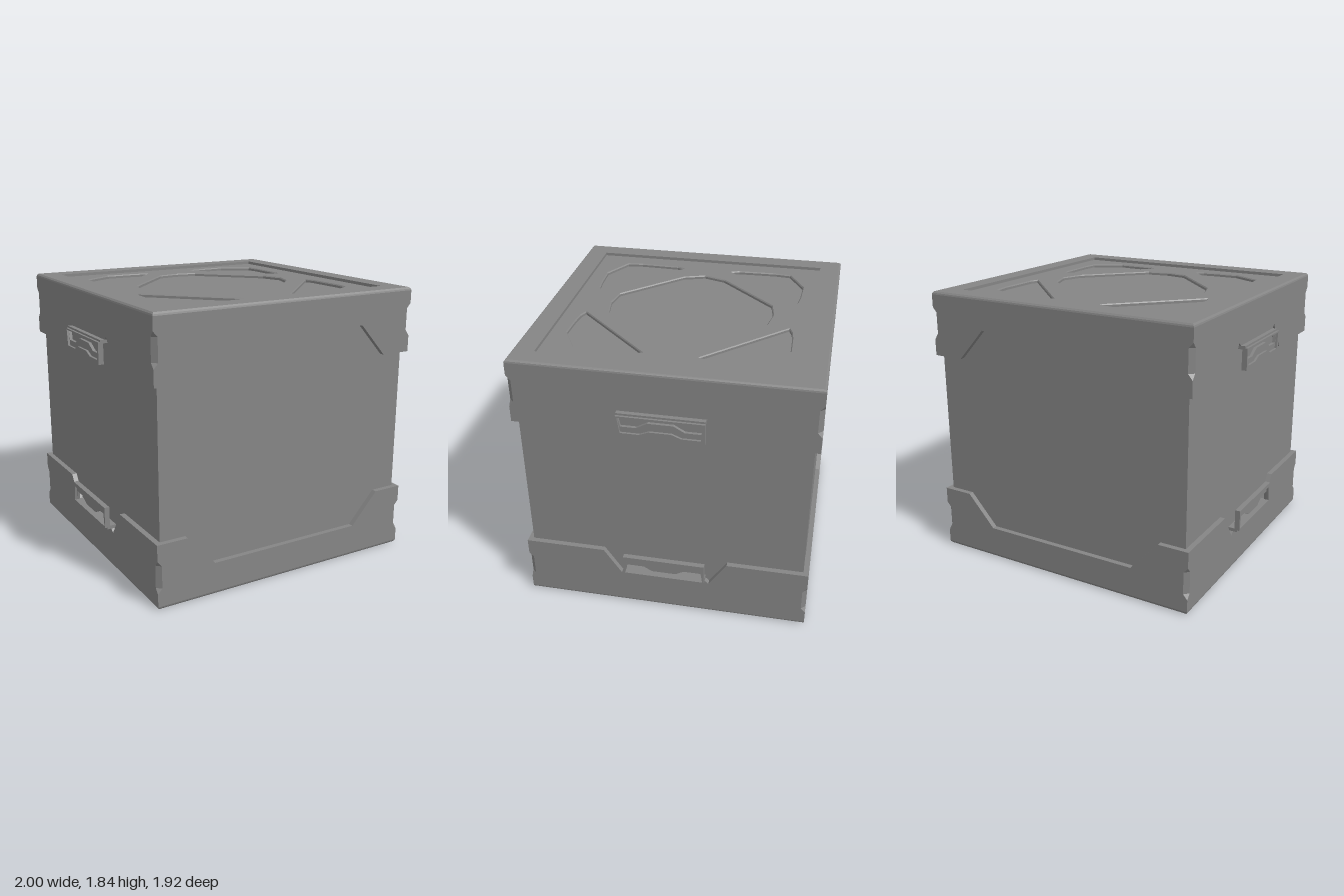
import * as THREE from 'three';

const material = new THREE.MeshStandardMaterial({ color: 0x858585, flatShading: true, side: THREE.DoubleSide });
const points = (list) => list.map(([x, y]) => new THREE.Vector2(x, y));
// Right half of an outline, completed by its mirror image
const mirrored = (half) => points([...half, ...half.map(([x, y]) => [-x, y]).reverse()]);

function part(name, geometry, parent) {
  const mesh = new THREE.Mesh(geometry, material);
  mesh.name = name;
  parent.add(mesh);
  return mesh;
}

function plate(outline, depth, holes = [], bevel = 0) {
  const shape = new THREE.Shape(outline);
  shape.holes = holes.map((h) => new THREE.Path(h));
  return new THREE.ExtrudeGeometry(shape, {
    depth, bevelEnabled: bevel > 0, bevelThickness: bevel, bevelSize: bevel, bevelSegments: 1,
  });
}

// Surface through closed loops given as [y, [[x, z], ...]], counterclockwise from above
function loft(loops) {
  const pos = [], idx = [], n = loops[0][1].length;
  for (const [y, loop] of loops) for (const [x, z] of loop) pos.push(x, y, z);
  for (let r = 0; r < loops.length - 1; r++) {
    for (let c = 0; c < n; c++) {
      const a = r * n + c, b = r * n + (c + 1) % n;
      idx.push(a, b, b + n, a, b + n, a + n);
    }
  }
  const g = new THREE.BufferGeometry();
  g.setAttribute('position', new THREE.Float32BufferAttribute(pos, 3));
  g.setIndex(idx);
  const flat = g.toNonIndexed();
  flat.computeVertexNormals();
  return flat;
}

const rect = (x, z) => [[x, z], [x, -z], [-x, -z], [-x, z]];

// Corner post section; t is the size of the chamfer cut
function postSection(sx, sz, t) {
  const loop = [[0.925, 0.96], [0.955 - t, 0.96], [0.955, 0.96 - t], [0.955, 0.925], [0.925, 0.925]]
    .map(([x, z]) => [x * sx, z * sz]);
  return sx * sz > 0 ? loop : loop.reverse();
}

function makeHandle() {
  const handle = new THREE.Group();
  handle.name = 'handle';
  // Front frame, then the recessed grip with its wavy edge behind it
  const frame = part('handleFrame', plate(mirrored([[0.275, 0.487], [0.275, 0.632]]), 0.015, [
    mirrored([[0.07, 0.54], [0.13, 0.515], [0.25, 0.515], [0.265, 0.622]])]), handle);
  frame.position.z = 0.985;
  const grip = part('handleGrip', plate(mirrored([[0.275, 0.487], [0.275, 0.645]]), 0.02, [
    mirrored([[0.08, 0.592], [0.15, 0.552], [0.25, 0.552], [0.265, 0.622]])]), handle);
  grip.position.z = 0.965;
  const mount = part('handleMount', new THREE.BoxGeometry(0.55, 0.023, 0.065), handle);
  mount.position.set(0, 0.6335, 0.9475);
  return handle;
}

// One end cap, measured from the middle height of the crate
function makeCap(name) {
  const cap = new THREE.Group();
  cap.name = name;

  // Four walls with trapezoid cutouts; the side walls carry the handles
  const frontWall = mirrored([[0.55, 0.703], [0.745, 0.487], [0.925, 0.487], [0.925, 0.9]]);
  const sideWall = mirrored([[0.275, 0.645], [0.3, 0.668], [0.42, 0.487], [0.925, 0.487], [0.925, 0.9]]);
  for (const turn of [0, 1, 2, 3]) {
    const side = new THREE.Group();
    side.name = ['front', 'left', 'back', 'right'][turn] + 'Side';
    side.rotation.y = turn * Math.PI / 2;
    const isEnd = turn % 2 === 0;
    const wall = part('capWall', plate(isEnd ? frontWall : sideWall, 0.035), side);
    wall.position.z = isEnd ? 0.925 : 0.92;
    if (!isEnd) side.add(makeHandle());
    cap.add(side);
  }

  // Corner posts with a chamfered notch half way up
  for (const sx of [1, -1]) {
    for (const sz of [1, -1]) {
      const section = (y, t) => [y, postSection(sx, sz, t)];
      const closed = [0.487, Array(5).fill([0.925 * sx, 0.925 * sz])];
      part('cornerPost', loft([closed, section(0.487, 0), section(0.595, 0), section(0.63, 0.03),
        section(0.78, 0.03), section(0.815, 0), section(0.9, 0)]), cap);
    }
  }

  // Bevelled rim stepping down to the panel
  part('capRim', loft([
    [0.9, rect(0.955, 0.96)], [0.91, rect(0.952, 0.957)], [0.92, rect(0.942, 0.947)],
    [0.92, rect(0.815, 0.815)], [0.895, rect(0.815, 0.815)]]), cap);

  // Panel with a central diamond pocket and four corner pockets
  const diamond = points([[0, -0.56], [0.15, -0.535], [0.52, -0.15], [0.57, 0], [0.52, 0.15], [0.15, 0.535],
    [0, 0.56], [-0.15, 0.535], [-0.52, 0.15], [-0.57, 0], [-0.52, -0.15], [-0.15, -0.535]]);
  const pocket = [[0.17, 0.68], [0.23, 0.705], [0.32, 0.715], [0.49, 0.72], [0.69, 0.61],
    [0.702, 0.5], [0.695, 0.23], [0.67, 0.17]];
  const holes = [diamond];
  for (const sx of [1, -1]) {
    for (const sy of [1, -1]) holes.push(points(pocket.map(([x, y]) => [x * sx, y * sy])));
  }
  const panel = part('capPanel', plate(mirrored([[0.83, -0.83], [0.83, 0.83]]), 0.015, holes, 0.007), cap);
  panel.rotation.x = -Math.PI / 2;
  panel.position.y = 0.878;
  return cap;
}

export function createModel() {
  const crate = new THREE.Group();
  crate.name = 'crate';

  const body = part('body', new THREE.BoxGeometry(1.84, 1.756, 1.85), crate);
  body.position.y = 0.92;

  // The bottom cap is the top cap turned over
  const top = makeCap('topCap');
  const bottom = makeCap('bottomCap');
  bottom.rotation.x = Math.PI;
  for (const cap of [top, bottom]) {
    cap.position.y = 0.92;
    crate.add(cap);
  }
  return crate;
}
